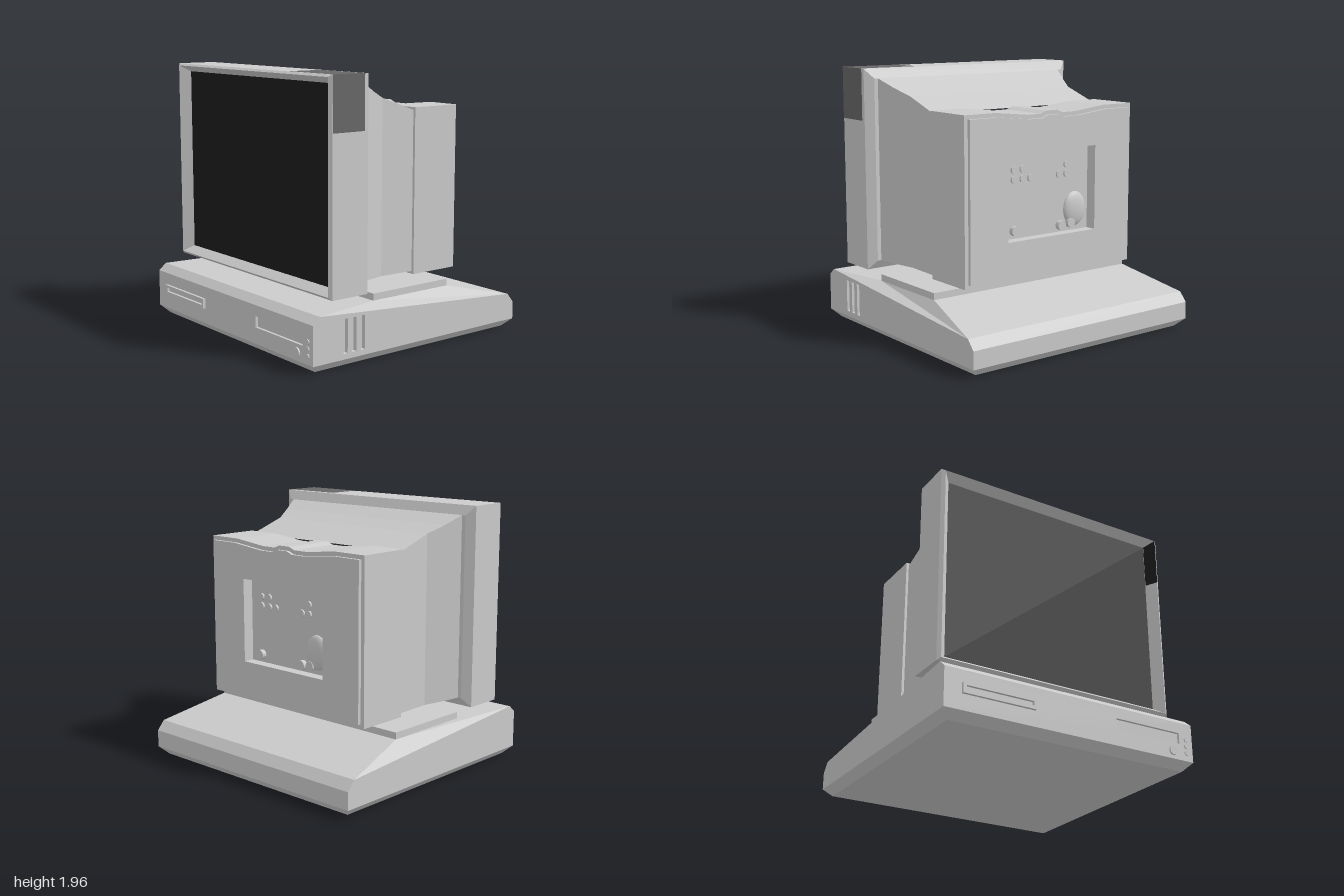
import * as THREE from 'three';

const mat = (color) => new THREE.MeshStandardMaterial({ color, flatShading: true });
const grey = mat(0xcccccc), dark = mat(0x686868), black = mat(0x1c1c1c);

// Flat polygons given as corner lists, counter-clockwise from outside
function faces(polys) {
  const pos = [];
  for (const p of polys)
    for (let i = 1; i < p.length - 1; i++) pos.push(...p[0], ...p[i], ...p[i + 1]);
  const g = new THREE.BufferGeometry();
  g.setAttribute('position', new THREE.Float32BufferAttribute(pos, 3));
  g.computeVertexNormals();
  return g;
}

// Rectangular rings [halfWidth, yBottom, yTop, z] joined front to back
function loft(rings) {
  const r = rings.map(([x, a, b, z]) => [[x, a, z], [x, b, z], [-x, b, z], [-x, a, z]]);
  const polys = [];
  for (let i = 0; i < r.length - 1; i++)
    for (let k = 0; k < 4; k++) {
      const n = (k + 1) % 4;
      polys.push([r[i][k], r[i + 1][k], r[i + 1][n], r[i][n]]);
    }
  return faces(polys);
}

// Open box sunk behind z = 0
function pocket(w, h, d) {
  const g = new THREE.BoxGeometry(w, h, d).translate(0, 0, -d / 2);
  const idx = Array.from(g.index.array).filter((_, i) => i < 24 || i >= 30).reverse();
  g.setIndex(idx);
  g.clearGroups();
  g.computeVertexNormals();
  return g;
}

const outline = (pts) => new THREE.Shape(pts.map(([x, y]) => new THREE.Vector2(x, y)));
function rectHole(x0, x1, y0, y1) {
  return new THREE.Path([[x0, y0], [x0, y1], [x1, y1], [x1, y0]].map(([x, y]) => new THREE.Vector2(x, y)));
}

export function createModel() {
  const model = new THREE.Group();
  function add(parent, name, geometry, material = grey, x = 0, y = 0, z = 0) {
    const m = new THREE.Mesh(geometry, material);
    m.name = name;
    m.position.set(x, y, z);
    parent.add(m);
    return m;
  }
  function part(name) {
    const g = new THREE.Group();
    g.name = name;
    model.add(g);
    return g;
  }
  const box = (w, h, d) => new THREE.BoxGeometry(w, h, d);
  const disc = (r, d, n = 20) => new THREE.CylinderGeometry(r, r, d, n).rotateX(Math.PI / 2);

  // Computer case: chamfered underside, front and back, with a raised middle
  const base = part('computerCase');
  const shell = [
    [[-0.94, 0, 0.88], [-0.94, 0, -0.9], [0.94, 0, -0.9], [0.94, 0, 0.88]],
    [[-0.94, 0, 0.88], [0.94, 0, 0.88], [1, 0.06, 0.94], [-1, 0.06, 0.94]],
    [[0.94, 0, -0.9], [-0.94, 0, -0.9], [-1, 0.06, -0.96], [1, 0.06, -0.96]],
    [[-1, 0.34, 0.94], [1, 0.34, 0.94], [1, 0.39, 0.88], [-1, 0.39, 0.88]],
    [[-1, 0.39, 0.88], [1, 0.39, 0.88], [0.9, 0.39, 0.34], [-0.9, 0.39, 0.34]],
    [[-0.9, 0.39, 0.34], [0.9, 0.39, 0.34], [0.9, 0.39, -0.36], [-0.9, 0.39, -0.36]],
    [[-0.9, 0.39, -0.36], [0.9, 0.39, -0.36], [1, 0.26, -0.9], [-1, 0.26, -0.9]],
    [[-1, 0.26, -0.9], [1, 0.26, -0.9], [1, 0.19, -0.96], [-1, 0.19, -0.96]],
    [[-1, 0.19, -0.96], [1, 0.19, -0.96], [1, 0.06, -0.96], [-1, 0.06, -0.96]],
  ];
  for (const s of [1, -1]) {
    const sides = [
      [[0.94, 0, 0.88], [0.94, 0, -0.9], [1, 0.06, -0.96], [1, 0.06, 0.94]],
      [[0.9, 0.39, 0.34], [1, 0.39, 0.88], [1, 0.26, -0.9], [0.9, 0.39, -0.36]],
    ].map((p) => p.map(([x, y, z]) => [s * x, y, z]));
    shell.push(...sides.map((p) => (s > 0 ? p : p.reverse())));
  }
  add(base, 'caseShell', faces(shell));

  // Side walls, with three vent slots on the left one
  const profile = [[0.94, 0.06], [0.94, 0.34], [0.88, 0.39], [-0.9, 0.26], [-0.96, 0.19], [-0.96, 0.06]];
  for (const s of [1, -1]) {
    const wall = outline(profile.map(([z, y]) => [-s * z, y]));
    if (s > 0)
      for (const z of [0.665, 0.59, 0.515]) {
        wall.holes.push(rectHole(-z - 0.018, -z + 0.018, 0.1, 0.34));
        add(base, 'ventSlot', pocket(0.036, 0.24, 0.03).rotateY(Math.PI / 2), grey, 1, 0.22, z);
      }
    add(base, 'sideWall', new THREE.ShapeGeometry(wall).rotateY(s * Math.PI / 2), grey, s);
  }

  // Front wall with sunken drive bay, floppy drive and buttons
  const front = outline([[-1, 0.06], [1, 0.06], [1, 0.34], [-1, 0.34]]);
  front.holes.push(rectHole(0.34, 0.885, 0.18, 0.26));
  add(base, 'frontWall', new THREE.ShapeGeometry(front), grey, 0, 0, 0.94);
  add(base, 'driveBay', pocket(0.545, 0.08, 0.02), grey, 0.6125, 0.22, 0.94);
  const floppy = outline([[-0.87, 0.175], [-0.32, 0.175], [-0.32, 0.25], [-0.87, 0.25]]);
  floppy.holes.push(rectHole(-0.845, -0.34, 0.2, 0.23));
  add(base, 'floppyDrive', new THREE.ExtrudeGeometry(floppy, { depth: 0.02, bevelEnabled: false }), grey, 0, 0, 0.94);
  add(base, 'powerButton', disc(0.036, 0.02), grey, 0.825, 0.12, 0.942);
  for (const y of [0.12, 0.17, 0.22]) add(base, 'indicator', disc(0.018, 0.016, 14), grey, 0.945, y, 0.94);

  // Stand
  const stand = part('stand');
  add(stand, 'standPlate', box(1.8, 0.05, 0.7), grey, 0, 0.415, -0.01);
  add(stand, 'standNeck', box(0.74, 0.08, 0.29), grey, 0, 0.475, -0.005);

  // Monitor housing
  const monitor = part('monitor');
  add(monitor, 'bezel', loft([
    [0.87, 0.53, 1.9, 0.69], [0.93, 0.485, 1.945, 0.76], [0.955, 0.465, 1.96, 0.74],
    [0.955, 0.465, 1.96, 0.44], [0.89, 0.53, 1.89, 0.4], [0.86, 0.53, 1.89, 0.4],
  ]));
  add(monitor, 'screen', new THREE.PlaneGeometry(1.74, 1.37), black, 0, 1.215, 0.69);
  add(monitor, 'taperedBack', loft([
    [0.86, 0.53, 1.89, 0.4], [0.805, 0.515, 1.825, 0.27], [0.75, 0.505, 1.77, 0.14], [0.75, 0.5, 1.67, -0.15],
  ]));

  // Dark corner panel
  add(monitor, 'cornerPanel', faces([
    [[0.957, 1.58, 0.74], [0.957, 1.58, 0.47], [0.957, 1.962, 0.47], [0.957, 1.962, 0.74]],
    [[0.48, 1.962, 0.74], [0.957, 1.962, 0.74], [0.957, 1.962, 0.47], [0.48, 1.962, 0.47]],
  ]), dark);
  add(monitor, 'cornerInset', faces([
    [[0.87, 1.56, 0.693], [0.93, 1.575, 0.763], [0.93, 1.945, 0.763], [0.87, 1.9, 0.693]],
  ]), black);

  // Rear box and back panel share a rippled top edge and the connector recess
  function rearShape(w, y0, y1) {
    const ripple = [[0.5, 0], [0.22, -0.03], [0.1, -0.03], [0.05, -0.01]];
    const s = outline([[-w, y0], [w, y0], [w, y1],
      ...ripple.map(([x, d]) => [x, y1 + d]),
      ...ripple.slice().reverse().map(([x, d]) => [-x, y1 + d]), [-w, y1]]);
    s.holes.push(rectHole(-0.4, 0.41, 0.77, 1.4));
    return s;
  }
  add(monitor, 'rearBox', new THREE.ExtrudeGeometry(rearShape(0.77, 0.48, 1.69), { depth: 0.4, bevelEnabled: false }), grey, 0, 0, -0.55);
  add(monitor, 'backPanel', new THREE.ExtrudeGeometry(rearShape(0.74, 0.51, 1.66), { depth: 0.03, bevelEnabled: false }), grey, 0, 0, -0.575);

  // Connector recess
  const ports = part('connectors');
  add(ports, 'recessFloor', new THREE.PlaneGeometry(0.81, 0.63).rotateY(Math.PI), grey, 0.005, 1.085, -0.49);
  const sockets = [[0.3, 1.27], [0.22, 1.27], [0.3, 1.2], [0.22, 1.2], [0.15, 1.2], [-0.19, 1.27], [-0.12, 1.2], [-0.19, 1.2]];
  for (const [x, y] of sockets) add(ports, 'socket', disc(0.027, 0.03, 14), grey, x, y, -0.49);
  for (const [x, y] of [[0.3, 0.83], [-0.13, 0.82], [-0.22, 0.83]])
    add(ports, 'knob', disc(0.036, 0.05, 14), grey, x, y, -0.5);
  const cover = add(ports, 'cableCover', new THREE.SphereGeometry(0.13, 20, 14), grey, -0.27, 0.93, -0.49);
  cover.material = new THREE.MeshStandardMaterial({ color: 0xcccccc });
  cover.scale.set(0.8, 1, 0.3);

  return model;
}
